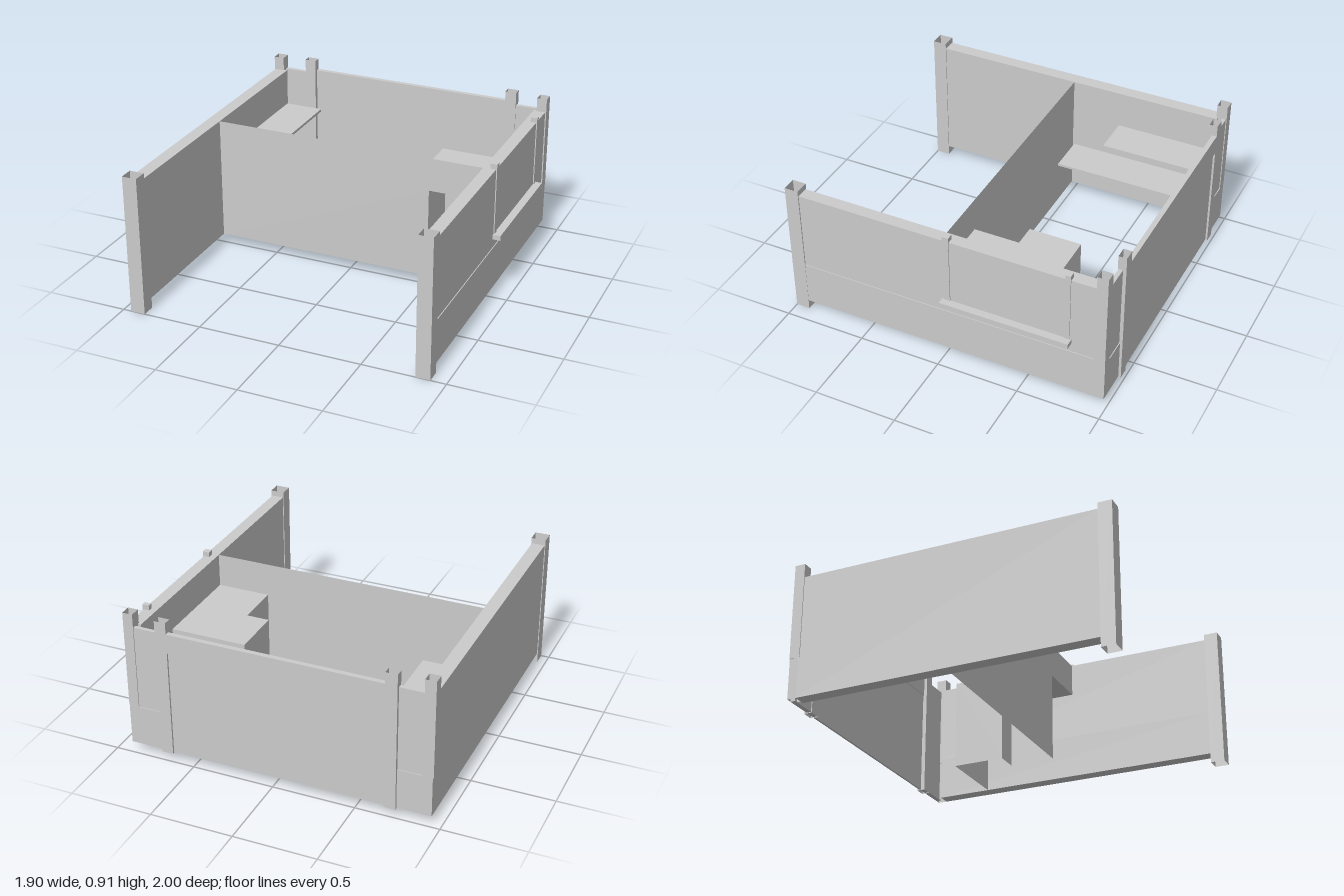
import * as THREE from 'three';

const mat = new THREE.MeshStandardMaterial({ color: 0xcccccc, flatShading: true, side: THREE.DoubleSide });

export function createModel() {
  const model = new THREE.Group();

  const add = (name, geometry) => {
    const mesh = new THREE.Mesh(geometry, mat);
    mesh.name = name;
    model.add(mesh);
    return mesh;
  };

  // Box given by its extents along each axis
  const box = (name, [x0, x1], [y0, y1], [z0, z1], open = false) => {
    const g = new THREE.BoxGeometry(x1 - x0, y1 - y0, z1 - z0);
    if (open) { // hollow sleeve: drop the top and bottom faces
      const index = Array.from(g.index.array);
      index.splice(12, 12);
      g.setIndex(index);
    }
    g.translate((x0 + x1) / 2, (y0 + y1) / 2, (z0 + z1) / 2);
    return add(name, g);
  };
  const sleeve = (name, x, y, z) => box(name, x, y, z, true);

  // Flat sheet from a list of corners
  const sheet = (name, points) =>
    add(name, new THREE.ShapeGeometry(new THREE.Shape(points.map(([x, y]) => new THREE.Vector2(x, y)))));

  // Side walls, with a slightly thicker lower part on the railed side
  box('leftSideWall', [-0.945, -0.865], [0.06, 0.825], [-0.93, 0.915]);
  box('rightWallLower', [0.825, 0.905], [0.06, 0.33], [-0.93, 0.915]);
  box('rightWallUpper', [0.825, 0.9], [0.33, 0.825], [-0.93, 0.915]);

  // Hollow front posts
  for (const x of [[-0.95, -0.86], [0.82, 0.907]]) {
    sleeve('frontPost', x, [0, 0.86], [0.915, 1]);
  }

  // Hollow rear corner posts above a plain corner
  for (const [x0, x1, lx0, lx1] of [[-0.95, -0.885, -0.945, -0.89], [0.845, 0.907, 0.85, 0.905]]) {
    sleeve('rearCornerPost', [x0, x1], [0.31, 0.91], [-0.985, -0.92]);
    sleeve('rearCornerBase', [lx0, lx1], [0.06, 0.31], [-0.985, -0.92]);
  }

  // Hollow posts framing the rear panel
  for (const x of [[-0.74, -0.67], [0.63, 0.70]]) {
    sleeve('rearPanelPost', x, [0.055, 0.91], [-1, -0.95]);
  }

  // Rear wall: short side sections, recessed panel and header
  for (const [x0, x1] of [[-0.91, -0.67], [0.63, 0.87]]) {
    box('rearSideSectionLower', [x0, x1], [0.06, 0.31], [-0.985, -0.955]);
    box('rearSideSectionUpper', [x0, x1], [0.31, 0.825], [-0.98, -0.955]);
  }
  box('rearPanel', [-0.67, 0.63], [0.06, 0.72], [-0.988, -0.975]);
  box('rearHeader', [-0.67, 0.63], [0.72, 0.84], [-1, -0.97]);

  // Cross partition with a doorway into the closet
  sheet('partition', [
    [-0.865, 0.06], [0.5, 0.06], [0.5, 0.62], [0.825, 0.62], [0.825, 0.825], [-0.865, 0.825],
  ]).position.z = 0.01;

  // L-shaped closet: thin walls and a flat roof, open below
  const plan = [[0.825, 0.01], [0.5, 0.01], [0.5, -0.27], [0.36, -0.27], [0.36, -0.59], [0.825, -0.59]];
  for (let i = 1; i < plan.length - 1; i++) {
    const [ax, az] = plan[i], [bx, bz] = plan[i + 1];
    const wall = add('closetWall', new THREE.PlaneGeometry(Math.hypot(bx - ax, bz - az), 0.56));
    wall.position.set((ax + bx) / 2, 0.34, (az + bz) / 2);
    wall.rotation.y = Math.atan2(az - bz, bx - ax);
  }
  const roof = sheet('closetRoof', plan);
  roof.rotation.x = Math.PI / 2;
  roof.position.y = 0.62;

  // Shelves on the opposite wall
  box('upperShelf', [-0.865, -0.62], [0.575, 0.592], [-0.925, -0.3]);
  box('lowerShelf', [-0.865, -0.62], [0.345, 0.36], [-0.925, 0]);

  // Outer rail with two uprights rising past the wall
  box('outerRail', [0.9, 0.947], [0.385, 0.415], [-0.78, 0.01]);
  for (const z of [[-0.04, 0], [-0.77, -0.74]]) {
    box('railUpright', [0.865, 0.906], [0.4, 0.855], z);
  }

  return model;
}
